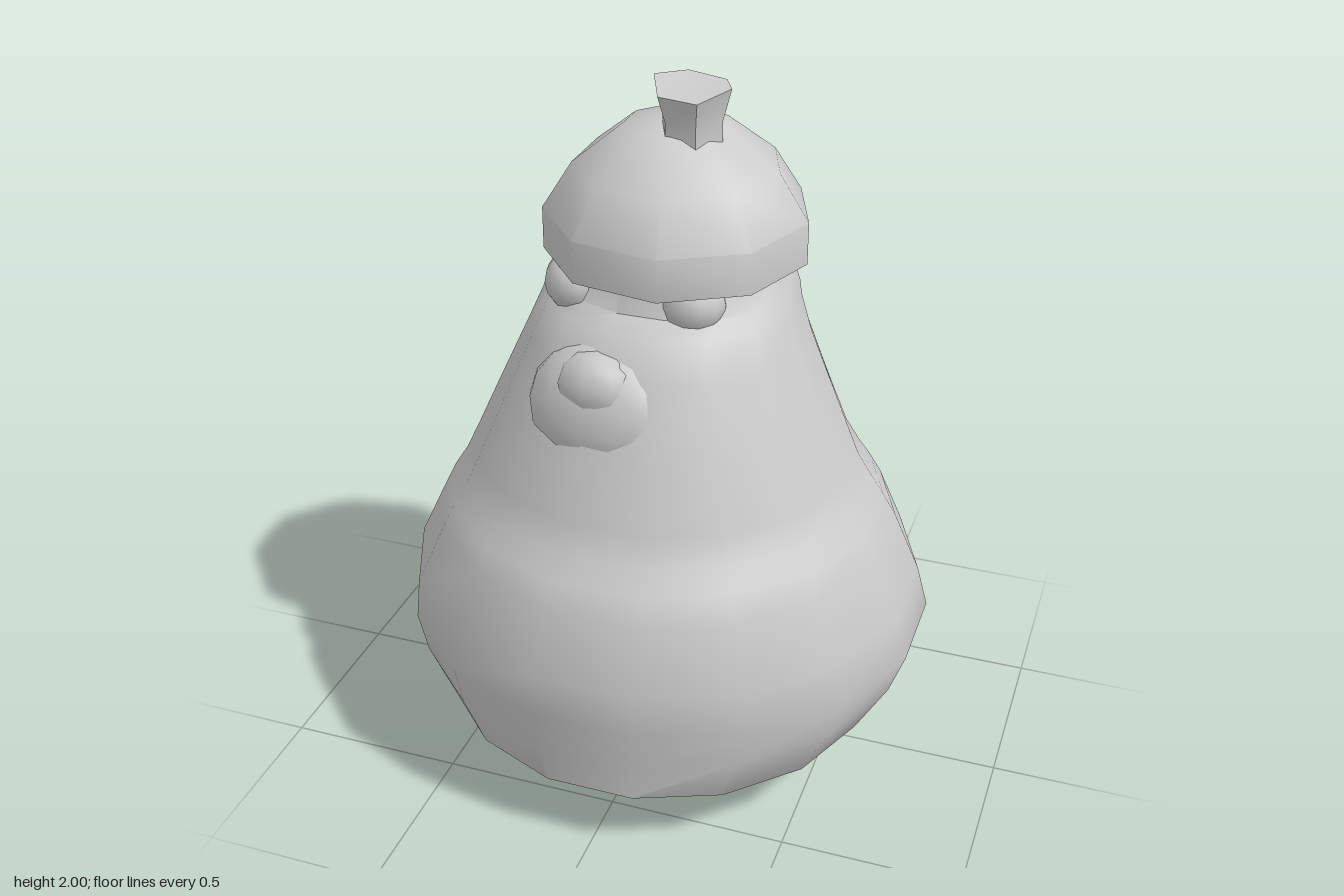
import * as THREE from 'three';
import { toCreasedNormals } from 'three/addons/utils/BufferGeometryUtils.js';

const material = new THREE.MeshStandardMaterial({ color: 0xcccccc, side: THREE.DoubleSide });

// Skin a stack of closed rings (counter-clockwise from above) and close both ends.
function loft(rings, crease) {
  const n = rings[0].length;
  const pos = [], index = [];
  rings.forEach(r => r.forEach(p => pos.push(p.x, p.y, p.z)));
  for (let i = 0; i < rings.length - 1; i++) {
    for (let j = 0; j < n; j++) {
      const a = i * n + j, b = i * n + (j + 1) % n;
      index.push(a, b, b + n, a, b + n, a + n);
    }
  }
  [0, rings.length - 1].forEach((k, end) => {
    const c = new THREE.Vector3();
    rings[k].forEach(p => c.addScaledVector(p, 1 / n));
    const ci = pos.length / 3;
    pos.push(c.x, c.y, c.z);
    for (let j = 0; j < n; j++) {
      const a = k * n + j, b = k * n + (j + 1) % n;
      if (end) index.push(a, b, ci); else index.push(b, a, ci);
    }
  });
  const g = new THREE.BufferGeometry();
  g.setAttribute('position', new THREE.Float32BufferAttribute(pos, 3));
  g.setIndex(index);
  return toCreasedNormals(g, crease);
}

function bodyGeometry() {
  // y, right edge, left edge, front, back
  const sections = [
    [0, -0.2, 0.22, 0.29, -0.1],
    [0.1, -0.47, 0.5, 0.56, -0.36],
    [0.2, -0.61, 0.62, 0.68, -0.54],
    [0.32, -0.71, 0.7, 0.69, -0.66],
    [0.43, -0.745, 0.74, 0.7, -0.705],
    [0.56, -0.72, 0.71, 0.71, -0.68],
    [0.74, -0.635, 0.64, 0.645, -0.59],
    [0.81, -0.6, 0.605, 0.615, -0.545],
    [0.86, -0.57, 0.57, 0.56, -0.51],
    [0.94, -0.53, 0.53, 0.535, -0.46],
    [1.12, -0.45, 0.46, 0.46, -0.39],
    [1.3, -0.37, 0.385, 0.39, -0.345],
    [1.4, -0.33, 0.35, 0.33, -0.325],
    [1.43, -0.315, 0.34, 0.27, -0.315],
    [1.52, -0.285, 0.31, 0.24, -0.295],
    [1.6, -0.26, 0.28, 0.22, -0.27],
  ];
  const n = 16, fit = Math.cos(Math.PI / n);
  const rings = sections.map(([y, x0, x1, z0, z1]) => Array.from({ length: n }, (_, j) => {
    const a = (j + 0.5) / n * Math.PI * 2;
    // shallow fold in the back, low on the left
    const fold = j === 6 && y > 0.25 && y < 0.7 ? 0.96 : 1;
    return new THREE.Vector3(
      (x0 + x1) / 2 + Math.sin(a) * (x1 - x0) / 2 / fit * fold,
      y,
      (z0 + z1) / 2 + Math.cos(a) * (z0 - z1) / 2 / fit * fold);
  }));
  return loft(rings, 0.75);
}

// Ragged stalk with an uneven torn top
function stalkGeometry() {
  const lift = [-0.03, -0.01, -0.02, -0.01, 0, -0.025];
  const levels = [[1.84, 0.085], [1.9, 0.083], [2.0, 0.107]];
  return loft(levels.map(([y, r], i) => lift.map((d, j) => {
    const a = (j + 0.4) / 6 * Math.PI * 2;
    return new THREE.Vector3(0.08 + r * Math.sin(a), i === 2 ? y + d : y, 0.06 + r * Math.cos(a));
  })), 0.5);
}

function capGeometry() {
  const profile = [[0, 1.52], [0.355, 1.52], [0.355, 1.635], [0.275, 1.76], [0.14, 1.865], [0, 1.89]];
  const g = new THREE.LatheGeometry(profile.map(p => new THREE.Vector2(...p)), 9, Math.PI / 2);
  g.translate(0.025, 0, 0.01);
  return toCreasedNormals(g, 0.85);
}

export function createModel() {
  const model = new THREE.Group();
  const add = (name, geometry) => {
    const mesh = new THREE.Mesh(geometry, material);
    mesh.name = name;
    model.add(mesh);
    return mesh;
  };
  const ball = (name, centre, radii, segments, rows) => {
    const mesh = add(name, new THREE.SphereGeometry(1, segments, rows));
    mesh.position.set(...centre);
    mesh.scale.set(...radii);
    return mesh;
  };

  add('body', bodyGeometry());
  add('cap', capGeometry());
  add('stalk', stalkGeometry());

  // face, turned a little to the right
  ball('rightEye', [-0.205, 1.46, 0.17], [0.08, 0.085, 0.085], 12, 8);
  ball('leftEye', [0.13, 1.46, 0.2], [0.09, 0.085, 0.085], 12, 8);
  ball('muzzle', [-0.08, 1.2, 0.355], [0.2, 0.17, 0.095], 12, 8).rotation.set(-0.3, -0.15, 0);
  ball('nose', [-0.075, 1.27, 0.375], [0.115, 0.09, 0.07], 8, 6).rotation.set(-0.25, -0.15, 0);
  return model;
}
